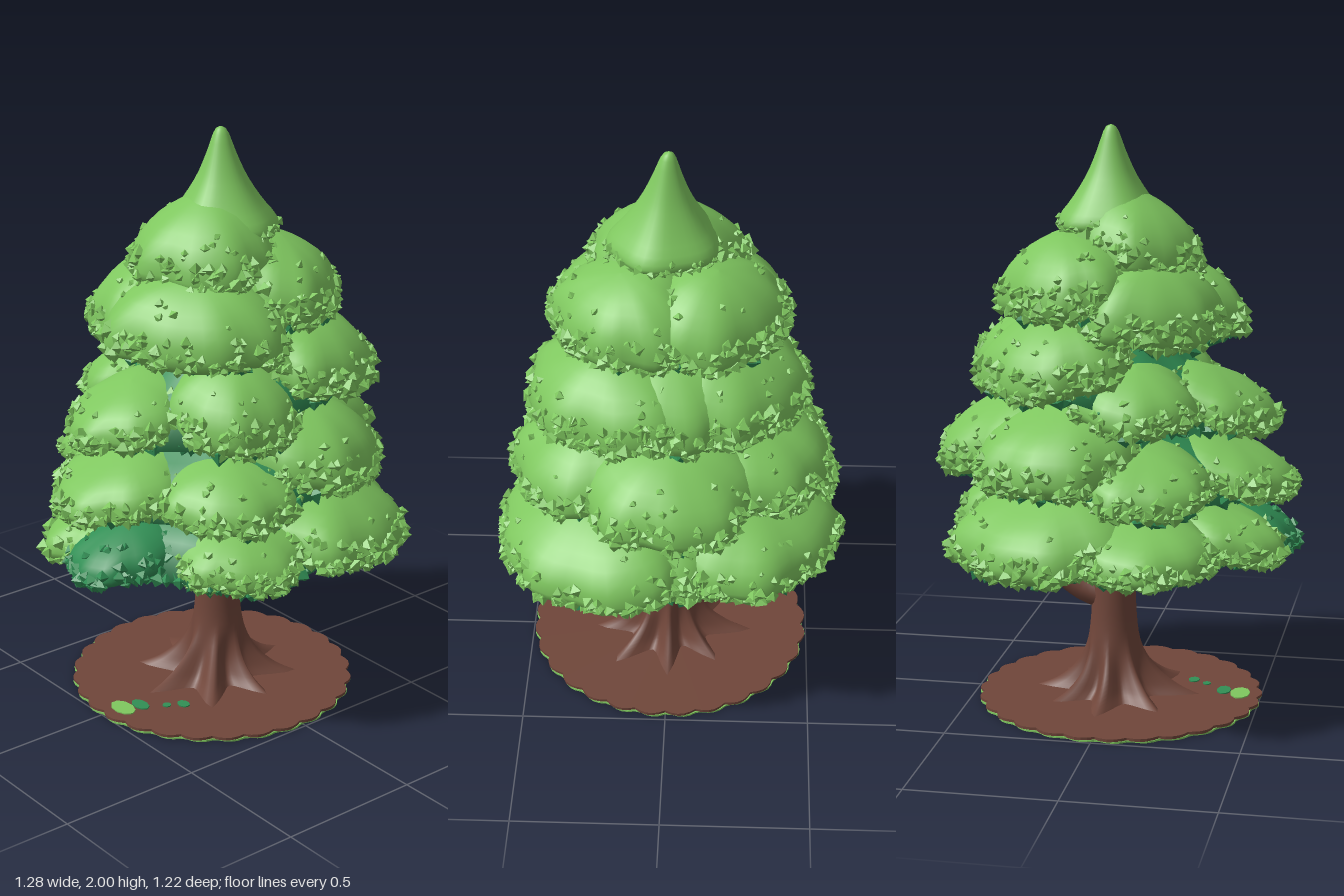
import * as THREE from 'three';
import { mergeGeometries } from 'three/addons/utils/BufferGeometryUtils.js';

const TAU = Math.PI * 2;
const { smoothstep, lerp, degToRad } = THREE.MathUtils;

function material(name, color) {
  const m = new THREE.MeshStandardMaterial({ color });
  m.name = name;
  return m;
}

let seed = 7;
function rnd(a = 0, b = 1) {
  seed = (seed * 16807) % 2147483647;
  return a + (b - a) * (seed / 2147483647);
}

// Surface of rings: f(s, angle) -> [x, y, z], s runs 0..1 from the top down
function rings(rows, segs, f) {
  const pos = [], idx = [];
  for (let i = 0; i <= rows; i++)
    for (let j = 0; j < segs; j++) pos.push(...f(i / rows, (j / segs) * TAU));
  for (let i = 0; i < rows; i++)
    for (let j = 0; j < segs; j++) {
      const k = (j + 1) % segs;
      const a = i * segs + j, b = a + segs, c = (i + 1) * segs + k, d = i * segs + k;
      idx.push(a, c, b, a, d, c);
    }
  const g = new THREE.BufferGeometry();
  g.setAttribute('position', new THREE.Float32BufferAttribute(pos, 3));
  g.setIndex(idx);
  g.computeVertexNormals();
  return g;
}

// Interpolated profile of [radius, y] points
function profile(points) {
  const curve = new THREE.SplineCurve(points.map(([r, y]) => new THREE.Vector2(r, y)));
  return (s) => curve.getPoint(s);
}

// Small spiky leaf lumps gathered into one geometry
function lump(list, [x, y, z], size) {
  const g = new THREE.OctahedronGeometry(size);
  g.scale(rnd(0.7, 1.2), rnd(0.7, 1.2), rnd(0.7, 1.2));
  g.rotateX(rnd(0, TAU)).rotateY(rnd(0, TAU));
  list.push(g.translate(x, y, z));
}

export function createModel() {
  const tree = new THREE.Group();
  tree.name = 'tree';
  const leaf = material('leafGreen', 0x7fc75f);
  const shade = material('deepGreen', 0x318f55);
  const bark = material('barkBrown', 0x70463a);

  function add(name, geometry, mat, parent = tree) {
    const mesh = new THREE.Mesh(geometry, mat);
    mesh.name = name;
    parent.add(mesh);
  }

  // Ground: brown soil over a green sheet, both with a scalloped edge
  function groundDisc(name, y0, y1, mat, turn) {
    const edge = (a) => 0.48 + 0.018 * Math.abs(Math.sin(a * 14 + turn));
    const path = [[0, y1], [1, y1], [1, y0], [0, y0]];
    const g = rings(3, 140, (s, a) => {
      const [k, y] = path[Math.round(s * 3)];
      return [k * edge(a) * Math.cos(a) - 0.01, y, k * edge(a) * Math.sin(a)];
    }).toNonIndexed();
    g.computeVertexNormals();
    add(name, g, mat);
  }
  groundDisc('grassSheet', 0, 0.006, leaf, 0.3);
  groundDisc('soil', 0.005, 0.015, bark, 0);
  for (const [x, z, rx, rz, mat] of [[-0.43, 0.03, 0.035, 0.055, leaf], [-0.37, 0.05, 0.025, 0.04, shade],
    [-0.25, 0.14, 0.02, 0.025, shade], [-0.3, 0.11, 0.015, 0.015, shade]]) {
    const g = new THREE.CylinderGeometry(1, 1, 0.006, 9).scale(rx, 1, rz);
    add('fallenLeaves', g.translate(x, 0.016, z), mat);
  }

  // Trunk with flared, star-shaped roots
  const trunkLine = profile([[0.035, 1.6], [0.06, 1.0], [0.068, 0.6], [0.074, 0.42], [0.085, 0.24],
    [0.115, 0.12], [0.165, 0.05], [0.225, 0.012]]);
  add('trunk', rings(36, 72, (s, a) => {
    const p = trunkLine(s);
    const flare = 1 - smoothstep(p.y, 0, 0.24);
    const ridge = 1 - 2 * Math.abs(Math.sin(4 * a + 0.4 * Math.sin(a)));
    const r = p.x * (1 + flare * (0.32 * ridge + 0.07 * Math.sin(3 * a)));
    return [0.015 * (1 - flare) + r * Math.cos(a), p.y, r * Math.sin(a)];
  }), bark);

  // Bare branches below the crown
  function branch(name, points, r0, r1) {
    const curve = new THREE.CatmullRomCurve3(points.map((p) => new THREE.Vector3(...p)));
    const g = new THREE.TubeGeometry(curve, 16, 1, 12);
    const p = g.attributes.position, v = new THREE.Vector3();
    for (let i = 0; i < p.count; i++) {
      const t = Math.floor(i / 13) / 16, c = curve.getPointAt(t);
      v.fromBufferAttribute(p, i).sub(c).multiplyScalar(r0 + (r1 - r0) * t).add(c);
      p.setXYZ(i, v.x, v.y, v.z);
    }
    add(name, g, bark);
  }
  branch('leftBranch', [[0.04, 0.36, 0], [0.13, 0.39, 0], [0.21, 0.45, 0], [0.26, 0.53, 0], [0.3, 0.68, 0]], 0.055, 0.026);
  branch('rightBranch', [[0, 0.44, 0], [-0.08, 0.47, 0], [-0.13, 0.52, 0], [-0.16, 0.6, 0], [-0.18, 0.68, 0]], 0.035, 0.02);

  // One leafy pad: a drooping dome with a fat curled lip, a dark underside and lumps
  function pad(group, { cx, cz, along, across, rim, reach, slope, height, mat = leaf }) {
    const dir = Math.atan2(cz, cx), c = Math.cos(dir), n = Math.sin(dir);
    const ph = rnd(0, TAU);
    const at = (rho, a, lift) => {
      const w = 1 + rho * (0.035 * Math.sin(5 * a + ph) + 0.025 * Math.sin(9 * a + 2 * ph));
      const u = rho * w * along * Math.cos(a), v = rho * w * across * Math.sin(a);
      const x = cx + u * c - v * n, z = cz + u * n + v * c;
      const fold = 0.008 * Math.sin(14 * x + ph) * Math.cos(13 * z - ph);
      return [x, rim + slope * (reach - Math.hypot(x, z)) + lift + fold, z];
    };
    const end = Math.PI * 0.68, lip = Math.sin(end), low = 0.65 * height * Math.cos(end);
    const dome = (s, a) => {
      const cos = Math.cos(s * end);
      return at(Math.sin(s * end), a, height * (cos > 0 ? cos ** 0.85 : 0.65 * cos));
    };
    add('leafPad', rings(11, 40, dome), mat, group);
    const under = (s, a) => at(lip * (1 - s), a, low + 0.03 * s);
    add('leafPadUnderside', rings(4, 40, under), shade, group);
    const light = [], dark = [], count = 420 * (along + across);
    for (let i = 0; i < count; i++) lump(light, dome(rnd(0.58, 0.98), rnd(0, TAU)), rnd(0.016, 0.029));
    for (let i = 0; i < 16; i++) lump(light, dome(rnd(0.3, 0.58), rnd(0, TAU)), rnd(0.012, 0.02));
    for (let i = 0; i < 120; i++) lump(dark, under(1 - Math.sqrt(rnd()), rnd(0, TAU)), rnd(0.02, 0.036));
    add('leafLumps', mergeGeometries(light), mat, group);
    add('undersideLumps', mergeGeometries(dark), shade, group);
  }

  // Tiers: rim height on the left (hi) and right (lo), reach, pads as [angle, reach, width]
  const tiers = [
    { hi: 0.585, lo: 0.585, reach: 0.6,
      pads: [[42, 1.09, 0.57], [-55, 1.04, 0.56], [-5, 0.86, 0.46], [-113, 1.02, 0.4], [-163, 1.02, 0.3], [115, 0.92, 0.42]] },
    { hi: 0.865, lo: 0.785, reach: 0.58,
      pads: [[55, 0.98, 0.5], [-2, 1.06, 0.48], [-62, 1, 0.48], [-115, 0.98, 0.4], [-178, 1.06, 0.38], [120, 0.95, 0.42]] },
    { hi: 1.17, lo: 1.02, reach: 0.5,
      pads: [[38, 1.07, 0.57], [-50, 1, 0.57], [-4, 0.96, 0.48], [-112, 0.97, 0.42], [-176, 1.1, 0.38], [115, 0.93, 0.46]] },
    { hi: 1.425, lo: 1.335, reach: 0.42,
      pads: [[42, 0.98, 0.64], [-46, 0.98, 0.64], [-130, 1, 0.62], [146, 1.02, 0.72]] },
  ];
  tiers.forEach(({ hi, lo, reach, pads }, k) => {
    const group = new THREE.Group();
    group.name = 'foliageTier' + (k + 1);
    tree.add(group);
    const rimAt = (x) => lerp(lo, hi, smoothstep(x, -0.4, 0.25));

    // Dark inner skirt under the pads, lower beneath the full left side
    const skirt = (s, a) => {
      const r = s < 0.6 ? 0.03 + (s / 0.6) * 0.77 * reach : (0.03 + 0.77 * reach) * (1 - (s - 0.6) / 0.4);
      const wave = 1 + 0.03 * Math.sin(9 * a + k);
      const x = r * Math.cos(a), rim = rimAt(x), q = r / reach;
      const peak = k === 3 ? 0.2 : lerp(0.3, 0.2, smoothstep(x, 0, 0.25));
      const y = s < 0.6 ? rim + 0.02 + peak * (1 - q / 0.95) : rim - 0.02 + 0.06 * (1 - q);
      return [r * wave * Math.cos(a), y, r * wave * Math.sin(a)];
    };
    add('innerSkirt', rings(10, 40, skirt), shade, group);
    const dark = [];
    for (let i = 0; i < (k ? 240 : 600); i++)
      lump(dark, skirt(0.6 + 0.37 * (1 - Math.sqrt(rnd())), rnd(0, TAU)), rnd(0.02, 0.036));
    add('skirtLumps', mergeGeometries(dark), shade, group);

    for (const [deg, f, width] of pads) {
      const a = degToRad(deg), c = Math.cos(a), n = Math.sin(a), R = reach * f;
      const wide = width > 0.45;
      const mid = wide ? 0.55 : 0.61;
      pad(group, {
        cx: c * R * mid, cz: n * R * mid, along: R * (1 - mid), across: R * width,
        rim: rimAt(c * R), reach: R, slope: 0.22 + 0.03 * k, height: wide ? 0.16 : 0.11,
      });
    }
    // Shaded pad filling the right side of the lowest tier
    if (k === 0)
      pad(group, { cx: -0.42, cz: 0.05, along: 0.2, across: 0.17, rim: 0.585, reach: 0.62,
        slope: 0.2, height: 0.095, mat: shade });
  });

  // Shoulder pad under the tip, leaning to the right
  const crown = new THREE.Group();
  crown.name = 'crown';
  tree.add(crown);
  pad(crown, { cx: -0.06, cz: 0.01, along: 0.22, across: 0.26, rim: 1.545, reach: 0.28, slope: 0.45, height: 0.15 });

  // Pointed tip
  const tipLine = profile([[0, 2], [0.022, 1.985], [0.05, 1.91], [0.085, 1.83], [0.135, 1.75], [0.18, 1.69],
    [0.18, 1.655], [0.14, 1.65]]);
  const tip = (s, a) => {
    const p = tipLine(s), w = 1 + s * 0.05 * Math.sin(5 * a);
    return [0.025 + p.x * w * Math.cos(a), p.y, 0.02 * s + p.x * w * Math.sin(a)];
  };
  add('treeTip', rings(18, 36, tip), leaf, crown);
  add('tipUnderside', rings(2, 36, (s, a) => {
    const [x, y, z] = tip(1, a);
    return [0.025 + (x - 0.025) * (1 - s), y, 0.02 + (z - 0.02) * (1 - s)];
  }), shade, crown);
  const tipLumps = [];
  for (let i = 0; i < 80; i++) lump(tipLumps, tip(rnd(0.72, 0.95), rnd(0, TAU)), rnd(0.012, 0.02));
  add('tipLumps', mergeGeometries(tipLumps), leaf, crown);
  return tree;
}
